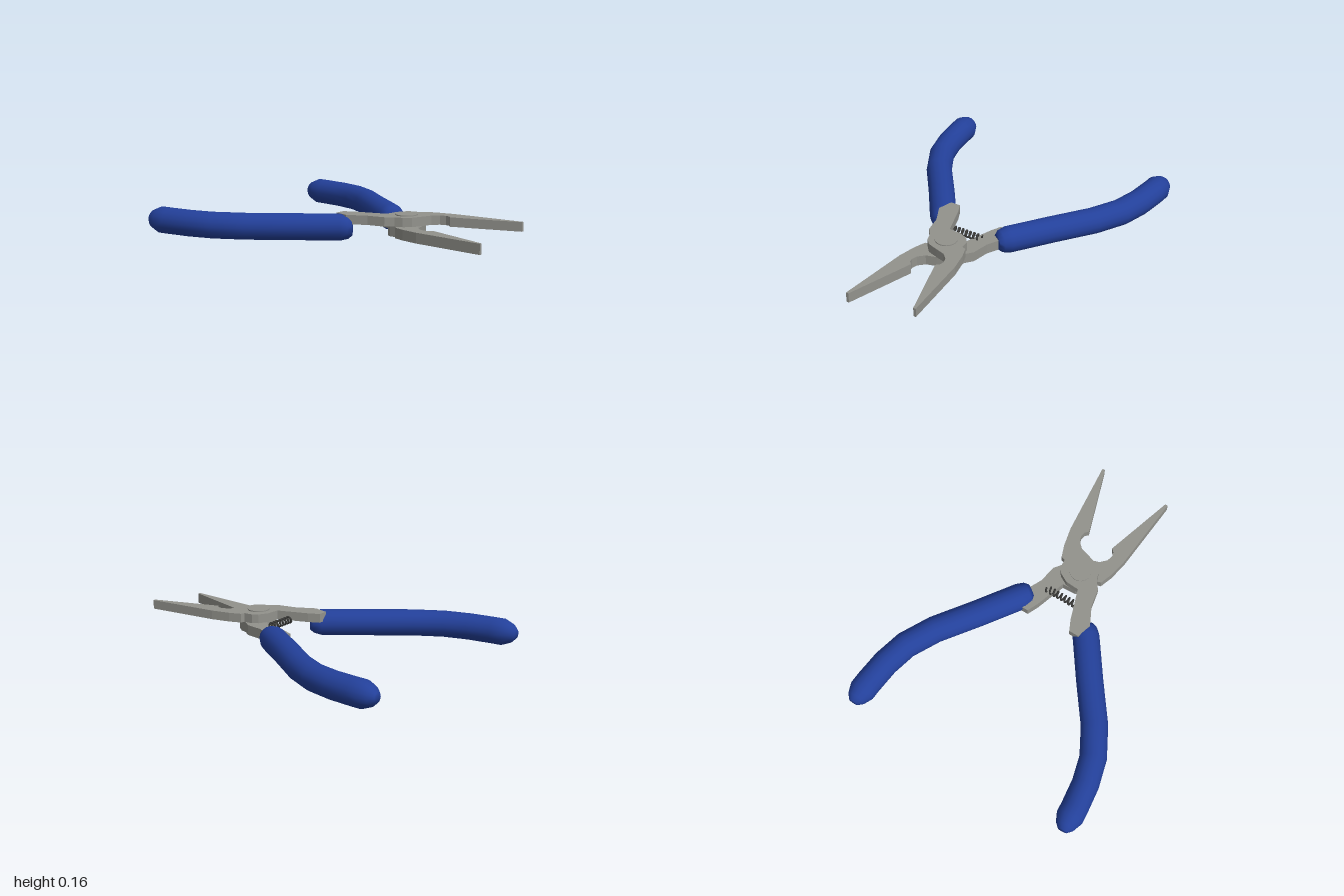
import * as THREE from 'three';

const steel = new THREE.MeshStandardMaterial({ color: 0x92928c });
steel.name = 'steel';
const gripBlue = new THREE.MeshStandardMaterial({ color: 0x23409a });
gripBlue.name = 'gripBlue';
const springDark = new THREE.MeshStandardMaterial({ color: 0x3c3c3a });
springDark.name = 'springDark';

// Outline of one plier half in x, z: arm on -x, pivot in the middle, jaw on +x
const halfOutline = [
  [-0.2, 0.0], [-0.225, 0.09], [-0.17, 0.2], [-0.15, 0.305], [-0.115, 0.35],
  [-0.1, 0.395], [-0.065, 0.435], [0, 0.457], [0.06, 0.475], [0.095, 0.51],
  [0.105, 0.545], [0.1, 0.57], [0.08, 0.59], [0.205, 0.985], [0.221, 0.985],
  [0.183, 0.55], [0.16, 0.44], [0.135, 0.37], [0.11, 0.362], [0.106, 0.31],
  [0.085, 0.28], [0.03, 0.25], [-0.05, 0.245], [-0.11, 0.065], [-0.14, 0.0],
];

function plierHalf(name, side, top, thickness, tipZ) {
  const shape = new THREE.Shape(
    halfOutline.map(([x, z]) => new THREE.Vector2(x * side, z > 0.9 ? tipZ : z)));
  const geo = new THREE.ExtrudeGeometry(shape, { depth: thickness, bevelEnabled: false });
  geo.rotateX(Math.PI / 2).translate(0, top, 0);
  const mesh = new THREE.Mesh(geo, steel);
  mesh.name = name;
  return mesh;
}

// Grip rings: x, z, radius, from the pivot end to the far tip
const R = 0.0775;
const gripRings = [
  [0.187, 0.106, 0.045], [0.2, 0.088, 0.065], [0.225, 0.048, R], [0.38, -0.17, R],
  [0.54, -0.385, R], [0.63, -0.55, R], [0.67, -0.7, R], [0.688, -0.85, R],
  [0.692, -0.91, R], [0.695, -0.965, 0.055], [0.696, -0.993, 0.028],
];

function grip(name, side, shift) {
  const sides = 16, n = gripRings.length, pos = [], index = [];
  gripRings.forEach(([x, z, r], i) => {
    const a = gripRings[Math.max(i - 1, 0)], b = gripRings[Math.min(i + 1, n - 1)];
    const t = new THREE.Vector2(b[0] - a[0], b[1] - a[1]).normalize();
    for (let j = 0; j < sides; j++) {
      const ang = (j / sides) * Math.PI * 2;
      const w = Math.cos(ang) * r;
      pos.push(side * (x - t.y * w), R + Math.sin(ang) * r, z + t.x * w + shift);
    }
  });
  const face = (a, b, c) => (side > 0 ? index.push(a, b, c) : index.push(a, c, b));
  for (let i = 0; i < n - 1; i++) {
    for (let j = 0; j < sides; j++) {
      const k = (j + 1) % sides;
      const a = i * sides + j, b = i * sides + k, c = a + sides, d = b + sides;
      face(a, c, b);
      face(b, c, d);
    }
  }
  // End caps as fans
  const last = (n - 1) * sides;
  for (let j = 1; j < sides - 1; j++) {
    face(0, j, j + 1);
    face(last, last + j + 1, last + j);
  }
  const geo = new THREE.BufferGeometry();
  geo.setAttribute('position', new THREE.Float32BufferAttribute(pos, 3));
  geo.setIndex(index);
  // Make sure the surface faces outward
  const p = (i) => new THREE.Vector3().fromArray(pos, i * 3);
  const mid = 4 * sides;
  const [ia, ib, ic] = index.slice(mid * 6, mid * 6 + 3);
  const normal = p(ib).sub(p(ia)).cross(p(ic).sub(p(ia)));
  const centre = p(mid).add(p(mid + sides / 2)).multiplyScalar(0.5);
  if (normal.dot(p(ia).sub(centre)) < 0) index.reverse();
  geo.setIndex(index);
  geo.computeVertexNormals();
  const mesh = new THREE.Mesh(geo, gripBlue);
  mesh.name = name;
  return mesh;
}

// Coil spring between the two arms
function coilSpring() {
  const turns = 8, steps = turns * 10, pts = [];
  for (let i = 0; i <= steps; i++) {
    const u = i / steps, a = u * turns * Math.PI * 2;
    pts.push(new THREE.Vector3(-0.085 + 0.2 * u, 0.105 + 0.018 * Math.cos(a), 0.172 + 0.018 * Math.sin(a)));
  }
  const geo = new THREE.TubeGeometry(new THREE.CatmullRomCurve3(pts), steps * 2, 0.006, 6);
  const mesh = new THREE.Mesh(geo, springDark);
  mesh.name = 'spring';
  return mesh;
}

export function createModel() {
  const model = new THREE.Group();
  model.name = 'pliers';

  model.add(plierHalf('upperHalf', 1, 0.153, 0.053, 0.982));
  model.add(plierHalf('lowerHalf', -1, 0.1, 0.06, 0.998));

  const rivet = new THREE.Mesh(new THREE.CylinderGeometry(0.064, 0.064, 0.1, 20), steel);
  rivet.name = 'pivotRivet';
  rivet.position.set(-0.005, 0.109, 0.35);
  model.add(rivet);

  model.add(grip('leftGrip', 1, 0.012));
  model.add(grip('rightGrip', -1, 0));
  model.add(coilSpring());
  return model;
}
